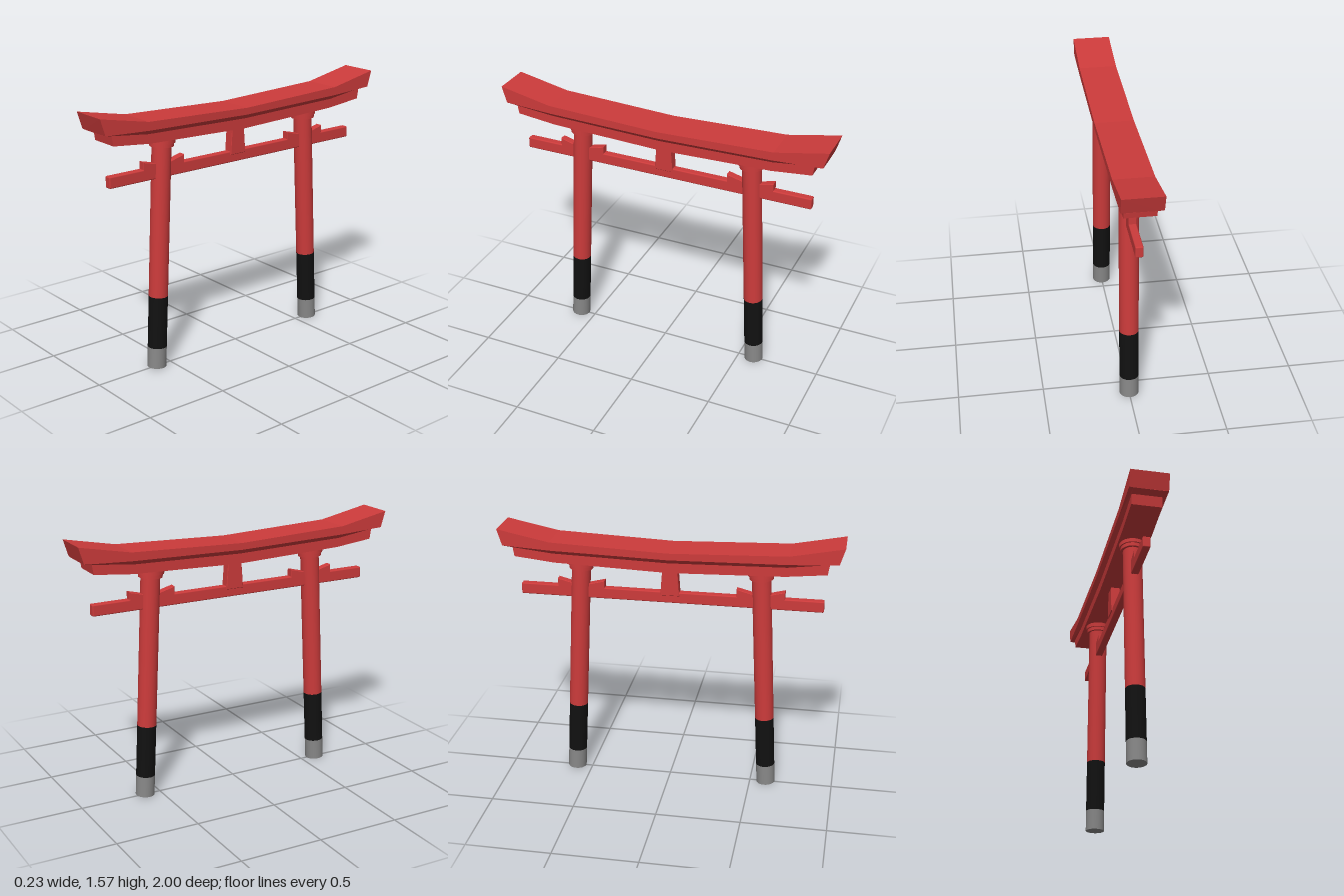
import * as THREE from 'three';
import { RoundedBoxGeometry } from 'three/addons/geometries/RoundedBoxGeometry.js';

const red = new THREE.MeshStandardMaterial({ color: 0xcc3b3b });
const black = new THREE.MeshStandardMaterial({ color: 0x111111 });
const stone = new THREE.MeshStandardMaterial({ color: 0x888888 });

function part(name, geometry, material = red) {
  const mesh = new THREE.Mesh(geometry, material);
  mesh.name = name;
  return mesh;
}

// Faceted solid through convex rings, counter-clockwise seen from +z, z ascending
function loft(rings) {
  const out = [];
  const tri = (a, b, c) => out.push(...a, ...b, ...c);
  const n = rings[0].length;
  for (let i = 0; i < rings.length - 1; i++) {
    for (let j = 0; j < n; j++) {
      const k = (j + 1) % n;
      const [p, q] = [rings[i], rings[i + 1]];
      tri(p[j], p[k], q[k]);
      tri(p[j], q[k], q[j]);
    }
  }
  const first = rings[0], last = rings[rings.length - 1];
  for (let j = 1; j < n - 1; j++) {
    tri(first[0], first[j + 1], first[j]);
    tri(last[0], last[j], last[j + 1]);
  }
  const geometry = new THREE.BufferGeometry();
  geometry.setAttribute('position', new THREE.Float32BufferAttribute(out, 3));
  geometry.computeVertexNormals();
  return geometry;
}

// Mirrors half a beam (centre to +z end) into the full set of sections
function mirrored(half, section) {
  const negative = half.slice(1).reverse().map((h) => section(h, -1));
  return loft([...negative, ...half.map((h) => section(h, 1))]);
}

// Extrudes a z-y outline across x, centred
function slab(points, width, bevel = 0.003) {
  const shape = new THREE.Shape(points.map(([z, y]) => new THREE.Vector2(z, y)));
  const depth = width - 2 * bevel;
  return new THREE.ExtrudeGeometry(shape, {
    depth, bevelSize: bevel, bevelThickness: bevel, bevelOffset: -bevel, bevelSegments: 1,
  }).translate(0, 0, -depth / 2).rotateY(-Math.PI / 2);
}

// Leaning post with footing, dark band, shaft and cap ring
function post(side) {
  const group = new THREE.Group();
  group.name = side > 0 ? 'frontPost' : 'backPost';
  const segment = (name, y0, y1, material) => {
    const geometry = new THREE.CylinderGeometry(0.056, 0.056, y1 - y0, 32);
    group.add(part(name, geometry.translate(0, (y0 + y1) / 2, 0), material));
  };
  segment('footing', 0, 0.125, stone);
  segment('darkBand', 0.125, 0.44, black);
  segment('shaft', 0.44, 1.36, red);
  for (const [name, r, y0, y1] of [['capLower', 0.07, 1.33, 1.355], ['capUpper', 0.078, 1.352, 1.38]]) {
    const geometry = new THREE.CylinderGeometry(r, r, y1 - y0, 32);
    group.add(part(name, geometry.translate(0, (y0 + y1) / 2, 0)));
  }
  group.position.set(0, 0.006, side * 0.597);
  group.rotation.x = -side * 0.05;
  return group;
}

export function createModel() {
  const model = new THREE.Group();
  model.name = 'gate';

  // Top beam: [z top, z bottom, y top, y side bottom, y underside]
  const topBeam = [
    [0, 0, 1.49, 1.45, 1.423],
    [0.69, 0.68, 1.515, 1.465, 1.44],
    [1, 0.97, 1.577, 1.48, 1.478],
  ];
  model.add(part('topBeam', mirrored(topBeam, ([zt, zb, yt, ys, yu], s) => [
    [-0.088, yu, s * zb], [0.088, yu, s * zb], [0.113, ys, s * zb],
    [0.113, yt, s * zt], [-0.113, yt, s * zt], [-0.113, ys, s * zb],
  ])));

  // Second beam tucked under the top beam: [z top, z bottom, y top, y bottom]
  const underBeam = [
    [0, 0, 1.44, 1.364],
    [0.67, 0.67, 1.45, 1.385],
    [0.918, 0.907, 1.477, 1.41],
  ];
  model.add(part('underBeam', mirrored(underBeam, ([zt, zb, yt, yb], s) => [
    [-0.088, yb, s * zb], [0.088, yb, s * zb], [0.088, yt, s * zt], [-0.088, yt, s * zt],
  ])));

  // Tie beam through the posts
  const tie = part('tieBeam', new RoundedBoxGeometry(0.044, 0.067, 1.79, 2, 0.007));
  tie.position.y = 1.187;
  model.add(tie);

  // Tapered strut in the middle
  model.add(part('centreStrut', slab([[-0.056, 1.2], [0.056, 1.2], [0.042, 1.39], [-0.042, 1.39]], 0.056)));

  for (const side of [1, -1]) {
    model.add(post(side));
    // Wedges either side of each post
    for (const [name, outline] of [
      ['outerWedge', [[0.53, 1.21], [0.67, 1.21], [0.67, 1.264], [0.53, 1.228]]],
      ['innerWedge', [[0.53, 1.21], [0.39, 1.21], [0.39, 1.264], [0.53, 1.228]]],
    ]) {
      model.add(part(name, slab(outline.map(([z, y]) => [side * z, y]), 0.044)));
    }
  }
  return model;
}
